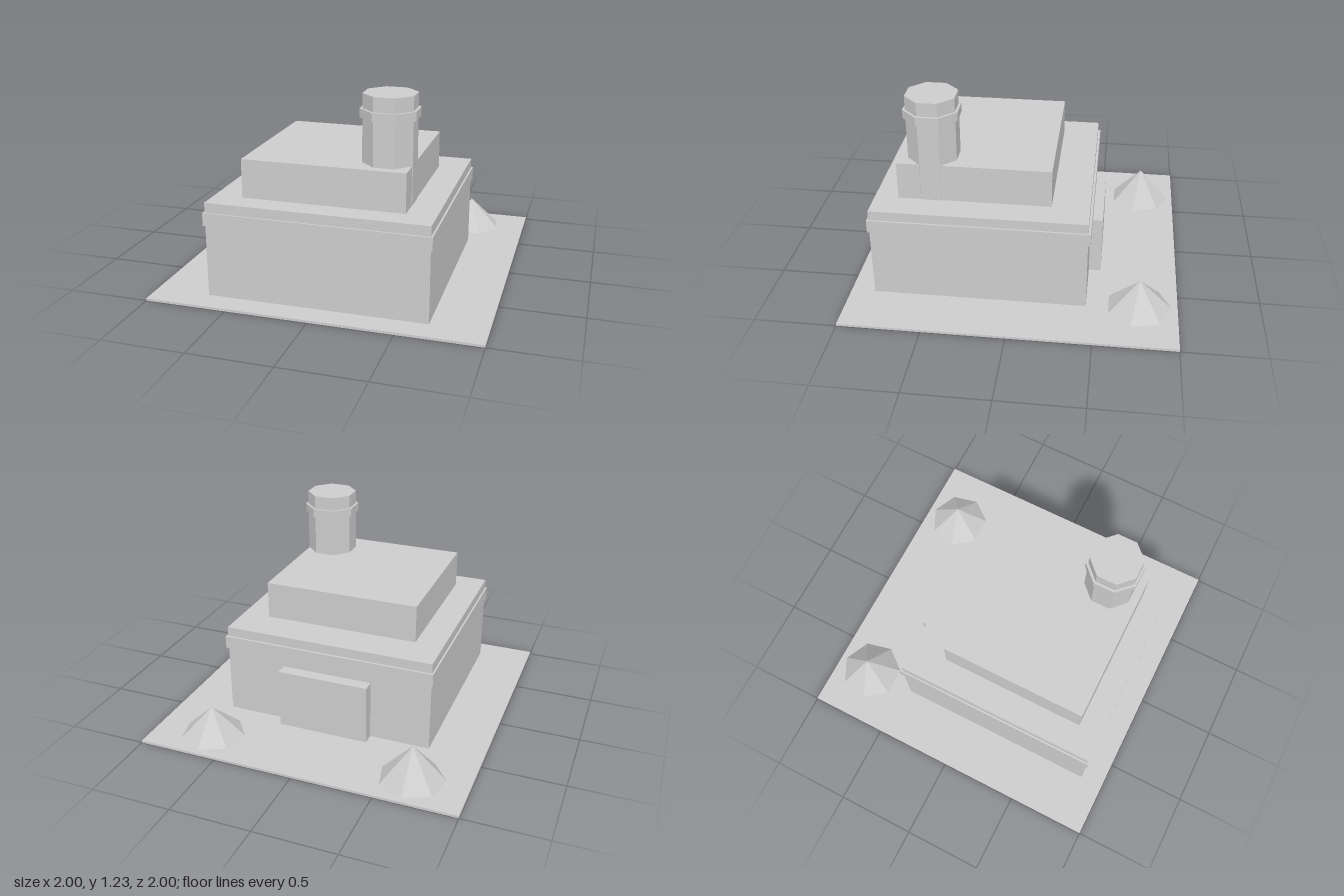
import * as THREE from 'three';

export function createModel() {
  const model = new THREE.Group();
  const grey = new THREE.MeshStandardMaterial({ color: 0xcccccc, flatShading: true });
  grey.name = 'plain grey';

  const add = (name, geometry, x, y, z) => {
    const mesh = new THREE.Mesh(geometry, grey);
    mesh.name = name;
    mesh.position.set(x, y, z);
    model.add(mesh);
    return mesh;
  };

  // Box given by its extents on each axis
  const block = (name, [x0, x1], [y0, y1], [z0, z1]) =>
    add(name, new THREE.BoxGeometry(x1 - x0, y1 - y0, z1 - z0),
      (x0 + x1) / 2, (y0 + y1) / 2, (z0 + z1) / 2);

  // Ground plate and stepped building
  block('groundPlate', [-1, 1], [0, 0.015], [-1, 1]);
  block('mainBody', [-0.665, 0.665], [0.015, 0.595], [-0.448, 0.853]);
  block('corniceBand', [-0.676, 0.676], [0.455, 0.535], [-0.463, 0.864]);
  block('upperStorey', [-0.49, 0.49], [0.595, 0.83], [-0.219, 0.708]);
  block('rearDoor', [-0.287, 0.287], [0.015, 0.392], [-0.523, -0.44]);

  // Octagonal chimney with flat sides square to the walls
  const octagon = (name, apothem, y0, y1) => {
    const r = apothem / Math.cos(Math.PI / 8);
    add(name, new THREE.CylinderGeometry(r, r, y1 - y0, 8, 1, false, Math.PI / 8),
      0.345, (y0 + y1) / 2, 0.505);
  };
  octagon('chimney', 0.148, 0.595, 1.232);
  octagon('chimneyCollar', 0.163, 1.092, 1.146);

  // Seven-sided mounds behind the building, one corner pointing back
  for (const [name, x, top] of [['rightMound', -0.659, 0.234], ['leftMound', 0.632, 0.204]]) {
    const height = top - 0.015;
    add(name, new THREE.ConeGeometry(0.2, height, 7, 1, false, Math.PI), x, 0.015 + height / 2, -0.765);
  }
  return model;
}
